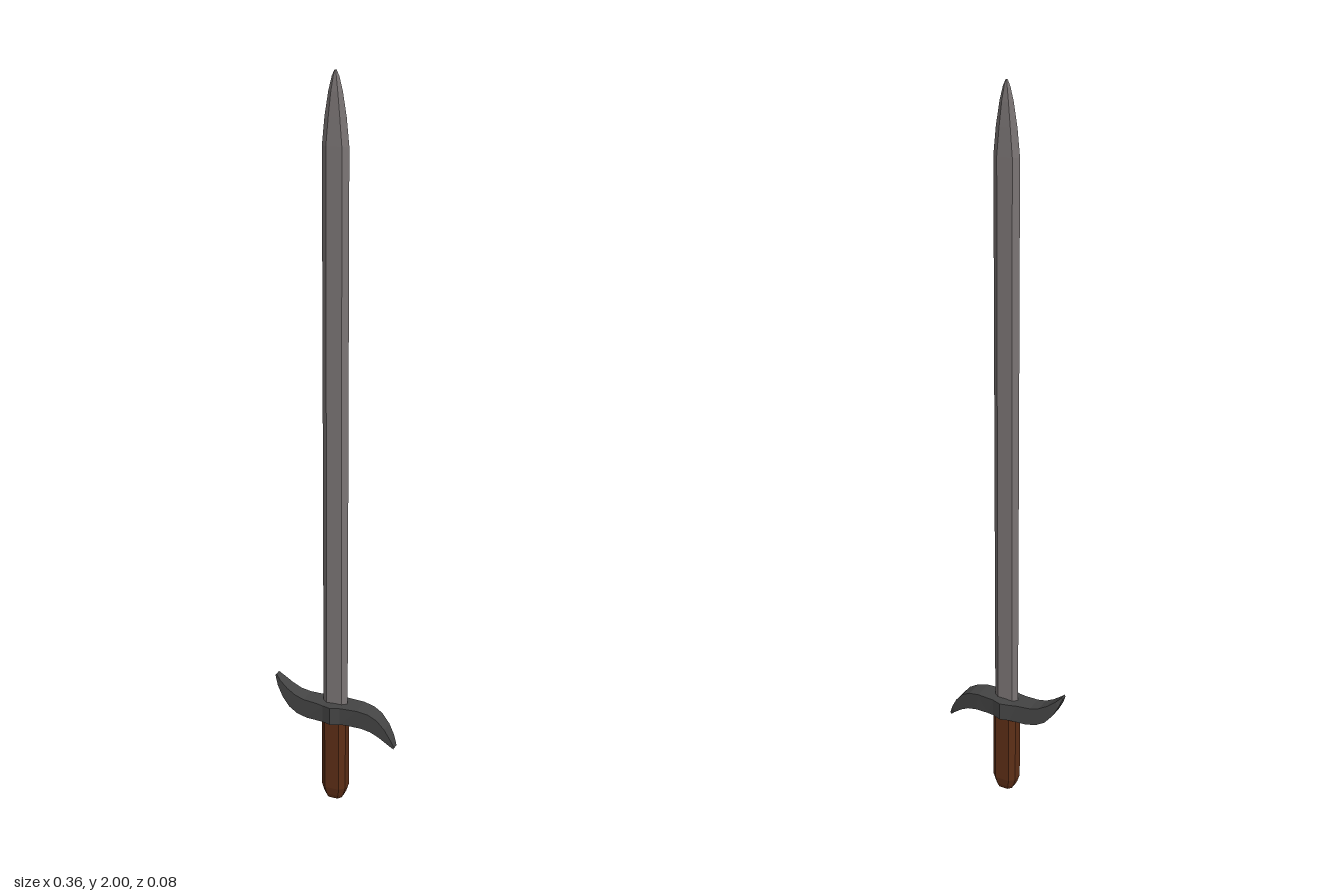
import * as THREE from 'three';

// Skin a list of equal-length rings; flat-shaded, capped at both ends
function loft(rings) {
  const pos = [];
  const tri = (...pts) => pts.forEach((p) => pos.push(...p));
  const n = rings[0].length;
  for (let r = 0; r < rings.length - 1; r++) {
    const a = rings[r], b = rings[r + 1];
    for (let i = 0; i < n; i++) {
      const j = (i + 1) % n;
      tri(a[i], b[i], b[j]);
      tri(a[i], b[j], a[j]);
    }
  }
  const first = rings[0], last = rings[rings.length - 1];
  for (let i = 1; i < n - 1; i++) {
    tri(first[0], first[i], first[i + 1]);
    tri(last[0], last[i + 1], last[i]);
  }
  const g = new THREE.BufferGeometry();
  g.setAttribute('position', new THREE.Float32BufferAttribute(pos, 3));
  g.computeVertexNormals();
  return g;
}

function part(name, geometry, color) {
  const mesh = new THREE.Mesh(geometry, new THREE.MeshStandardMaterial({ color, flatShading: true }));
  mesh.name = name;
  return mesh;
}

export function createModel() {
  const sword = new THREE.Group();
  sword.name = 'sword';

  // Blade: flattened hexagon [y, half width, flat half width, half thickness]
  const bladeRings = [
    [0.26, 0.036, 0.022, 0.011],
    [1.82, 0.036, 0.021, 0.011],
    [1.89, 0.029, 0.015, 0.010],
    [1.95, 0.019, 0.009, 0.008],
    [1.985, 0.010, 0.004, 0.005],
    [2.0, 0.003, 0.001, 0.002],
  ].map(([y, w, f, t]) => [[w, y, 0], [f, y, t], [-f, y, t], [-w, y, 0], [-f, y, -t], [f, y, -t]]);
  sword.add(part('blade', loft(bladeRings), 0x7d7777));

  // Crossguard: one arm as [top x, top y, bottom x, bottom y, half depth], y from the centre
  const cy = 0.271;
  const arm = [
    [0.026, 0.026, 0.026, -0.024, 0.033],
    [0.075, 0.026, 0.045, -0.025, 0.029],
    [0.105, 0.020, 0.085, -0.027, 0.026],
    [0.130, 0.006, 0.112, -0.034, 0.023],
    [0.152, -0.020, 0.137, -0.048, 0.020],
    [0.168, -0.050, 0.160, -0.066, 0.016],
    [0.178, -0.076, 0.175, -0.081, 0.009],
  ];
  // The other arm is the same one turned half a turn about z
  const turned = arm.map(([tx, ty, bx, by, d]) => [-bx, -by, -tx, -ty, d]).reverse();
  const guardRings = [...turned, [0, 0.026, 0, -0.025, 0.042], ...arm].map(([tx, ty, bx, by, d]) => [
    [bx, cy + by, d], [tx, cy + ty, d], [tx, cy + ty, -d], [bx, cy + by, -d],
  ]);
  sword.add(part('crossguard', loft(guardRings), 0x454545));

  // Grip: octagon with a tapered butt [y, half width, half depth]
  const gripRings = [
    [0, 0.022, 0.020],
    [0.012, 0.028, 0.024],
    [0.035, 0.035, 0.028],
    [0.255, 0.035, 0.028],
  ].map(([y, w, d]) => {
    const f = w * 0.6, e = d * 0.5;
    return [[w, y, -e], [w, y, e], [f, y, d], [-f, y, d], [-w, y, e], [-w, y, -e], [-f, y, -d], [f, y, -d]];
  });
  sword.add(part('grip', loft(gripRings), 0x5e2f17));

  return sword;
}
